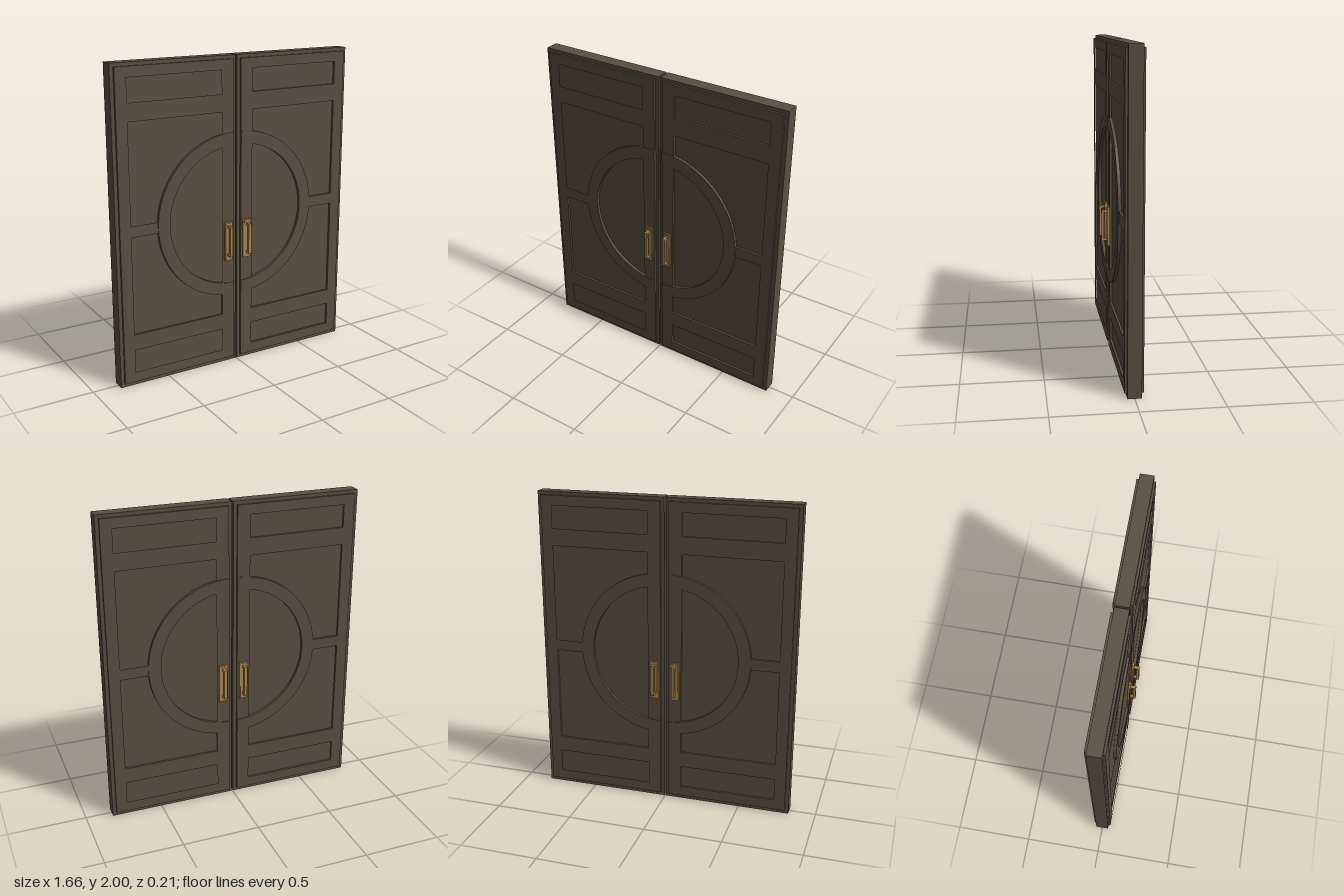
import * as THREE from 'three';

const wood = new THREE.MeshStandardMaterial({ color: 0x5a4e40 });
const brass = new THREE.MeshStandardMaterial({ color: 0xa8844c });

const SLAB = 0.042;              // half thickness of a leaf
const CX = 0.027, CY = 1;        // centre of the ring
const R_IN = 0.45, R_OUT = 0.53;
const X0 = 0.11, X1 = 0.735;     // sides of the recessed panels

const rect = (x0, y0, x1, y1) => [[x0, y0], [x1, y0], [x1, y1], [x0, y1]];

// points of an arc about the ring centre
function arc(r, a0, a1, n = 32) {
  return Array.from({ length: n + 1 }, (_, i) => {
    const a = a0 + (a1 - a0) * i / n;
    return [CX + r * Math.cos(a), CY + r * Math.sin(a)];
  });
}

// extrude an outline with holes from z0 to z1, mirrored in x by side
function plate(name, side, outline, holes, z0, z1, material) {
  const toVec = pts => pts.map(([x, y]) => new THREE.Vector2(x * side, y));
  const shape = new THREE.Shape(toVec(outline));
  holes.forEach(h => shape.holes.push(new THREE.Path(toVec(h))));
  const geo = new THREE.ExtrudeGeometry(shape, { depth: z1 - z0, bevelEnabled: false });
  geo.translate(0, 0, z0);
  const mesh = new THREE.Mesh(geo, material);
  mesh.name = name;
  return mesh;
}

function box(name, w, h, d, x, y, z, material) {
  const mesh = new THREE.Mesh(new THREE.BoxGeometry(w, h, d), material);
  mesh.position.set(x, y, z);
  mesh.name = name;
  return mesh;
}

// pull handle: stepped back plate and a square bow
function handle(side) {
  const g = new THREE.Group();
  g.name = 'handle';
  const x = side * 0.068, y = 0.833;
  g.add(box('backPlate', 0.058, 0.254, 0.012, x, y, 0.059, brass));
  g.add(box('backPlateStep', 0.046, 0.24, 0.012, x, y, 0.063, brass));
  g.add(box('gripBar', 0.02, 0.2, 0.016, x, y + 0.005, 0.095, brass));
  for (const s of [-1, 1]) {
    g.add(box('gripPost', 0.02, 0.016, 0.024, x, y + 0.005 + s * 0.092, 0.076, brass));
  }
  return g;
}

// raised decoration on one face of one leaf
function leafFace(side) {
  const g = new THREE.Group();
  g.name = 'leafFace';
  const gap = 0.035;             // half height of the middle rail
  const aTop = Math.acos((X0 - CX) / R_OUT), aLow = Math.asin(gap / R_OUT);
  const aIn = Math.acos((X0 - CX) / R_IN);
  const upper = [[X1, CY + gap], [X1, 1.66], [X0, 1.66], ...arc(R_OUT, aTop, aLow)];
  const lower = upper.map(([x, y]) => [x, 2 * CY - y]);
  const holes = [
    rect(X0, 1.77, X1, 1.915), rect(X0, 0.09, X1, 0.237),
    upper, lower, arc(R_IN, -aIn, aIn, 48),
  ];
  g.add(plate('raisedFrame', side, rect(0.027, 0.025, 0.807, 1.978), holes, SLAB, 0.056, wood));
  // half ring standing slightly proud of the frame
  const ring = [...arc(R_OUT, -Math.PI / 2, Math.PI / 2, 48), ...arc(R_IN, Math.PI / 2, -Math.PI / 2, 48)];
  g.add(plate('halfRing', side, ring, [], SLAB, 0.061, wood));
  g.add(handle(side));
  return g;
}

export function createModel() {
  const model = new THREE.Group();
  model.name = 'doubleDoor';
  const front = new THREE.Group();
  front.name = 'frontFace';
  for (const side of [-1, 1]) {
    model.add(box('doorLeaf', 0.825, 2, 2 * SLAB, side * 0.4175, 1, 0, wood));
    front.add(leafFace(side));
  }
  // the back repeats the front
  const back = front.clone();
  back.name = 'backFace';
  back.rotation.y = Math.PI;
  model.add(front, back);
  return model;
}
